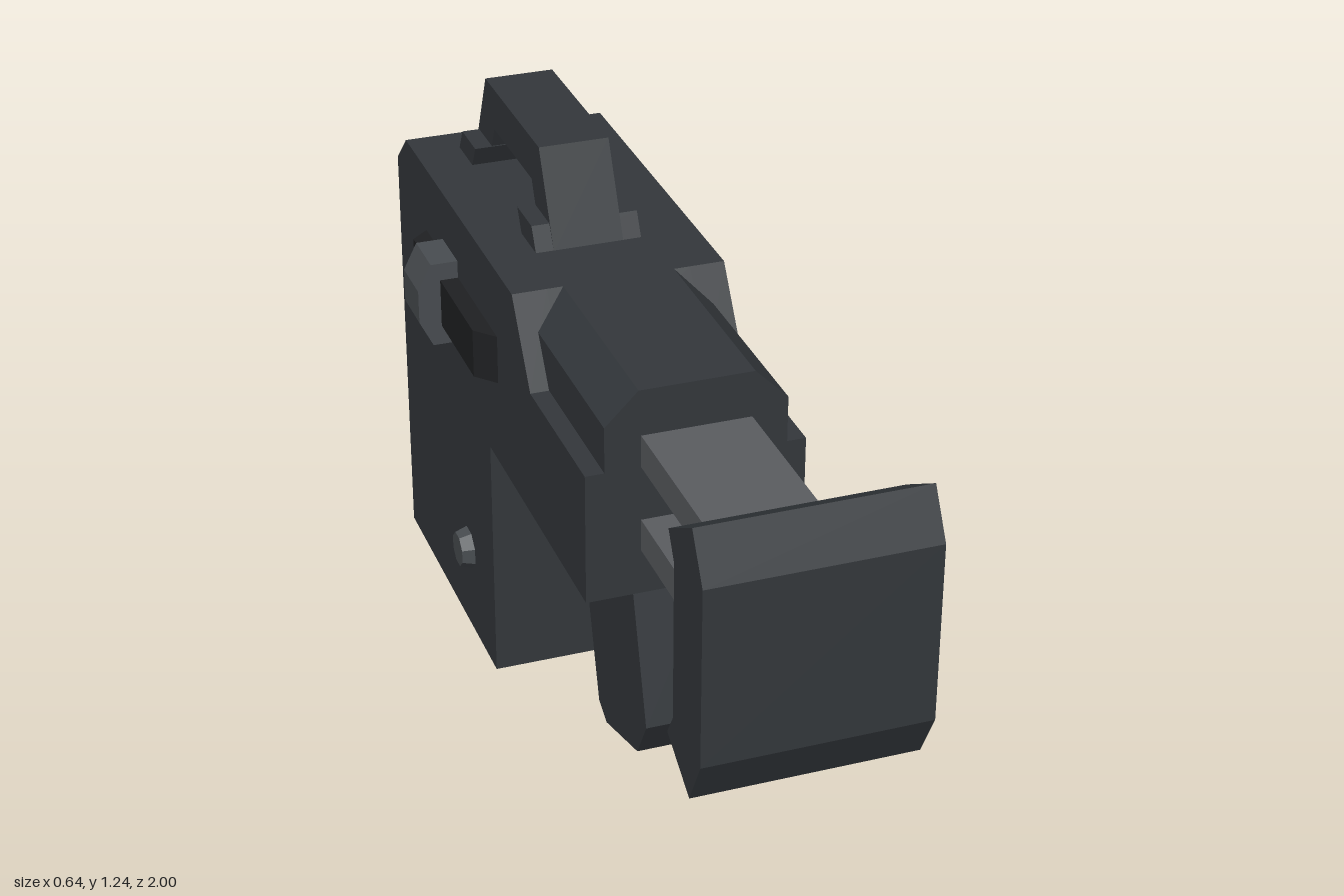
import * as THREE from 'three';

const mat = (color) => new THREE.MeshStandardMaterial({ color, flatShading: true });
const shapeOf = (pts) => new THREE.Shape(pts.map(([a, b]) => new THREE.Vector2(a, b)));

// Side profile of [z, y] points, extruded across x from x0 to x1
function prism(pts, x0, x1) {
  const g = new THREE.ExtrudeGeometry(shapeOf(pts), { depth: x1 - x0, bevelEnabled: false });
  return g.rotateY(-Math.PI / 2).translate(x1, 0, 0);
}

export function createModel() {
  const root = new THREE.Group();
  const dark = mat(0x33373b), black = mat(0x1f2022), steel = mat(0x5a5c60), grey = mat(0x484c50);
  const add = (name, geometry, material = dark, parent = root) => {
    const m = new THREE.Mesh(geometry, material);
    m.name = name;
    parent.add(m);
    return m;
  };

  // Body: two cheeks and a core with the muzzle channel cut from its end
  const rear = [[-0.305, 0], [-0.305, 0.58], [0.35, 0.58], [0.35, 0.87], [0, 0.87], [-0.115, 1.04], [-0.92, 1.04], [-1, 0.965]];
  const body = new THREE.Group();
  body.name = 'body';
  root.add(body);
  add('leftCheek', prism([...rear, [-1, 0]], 0.155, 0.23), dark, body);
  add('rightCheek', prism([...rear, [-1, 0]], -0.23, -0.155), dark, body);
  add('core', prism([...rear, [-1, 0.885], [-0.835, 0.885], [-0.835, 0]], -0.155, 0.155), dark, body);

  // Chamfered cover over the stepped-down rear
  const cover = new THREE.ExtrudeGeometry(
    shapeOf([[-0.19, 0.86], [0.19, 0.86], [0.19, 0.97], [0.12, 1.04], [-0.12, 1.04], [-0.19, 0.97]]),
    { depth: 0.465, bevelEnabled: false });
  add('rearCover', cover.translate(0, 0, -0.115));

  // Octagonal hollow muzzles in the channel
  for (const [name, y] of [['upperMuzzle', 0.725], ['lowerMuzzle', 0.43]]) {
    const profile = [[0.13, 0], [0.13, 0.16], [0.075, 0.16], [0.075, 0.03], [0, 0.03]]
      .map(([r, h]) => new THREE.Vector2(r, h));
    const g = new THREE.LatheGeometry(profile, 8, Math.PI / 8).rotateX(-Math.PI / 2);
    add(name, g, grey).position.set(0, y, -0.835);
  }

  // Stock: two flat rails and a bent shoulder plate
  for (const [name, y] of [['upperRail', 0.905], ['lowerRail', 0.715]]) {
    add(name, new THREE.BoxGeometry(0.23, 0.07, 0.56), steel).position.set(0, y, 0.6);
  }
  add('shoulderPlate', prism([[1, 1.005], [0.945, 1.1], [0.825, 1.03], [0.855, 0.975],
    [0.855, 0.64], [0.825, 0.59], [0.945, 0.52], [1, 0.625]], -0.23, 0.23));

  // Grip and trigger guard
  add('grip', prism([[0.225, 0.6], [0.235, 0.58], [0.335, 0.235], [0.28, 0.14], [0.08, 0.08],
    [0.03, 0.105], [-0.11, 0.58], [-0.115, 0.6]], -0.098, 0.098));
  add('triggerGuard', prism([[-0.03, 0.43], [-0.25, 0.43], [-0.31, 0.49], [-0.31, 0.59],
    [-0.23, 0.59], [-0.23, 0.5], [-0.03, 0.5]], -0.06, 0.06));

  // Carry handle with a wider foot at each end
  add('carryHandle', prism([[-0.275, 1.035], [-0.37, 1.235], [-0.755, 1.235], [-0.845, 1.035],
    [-0.745, 1.035], [-0.695, 1.14], [-0.425, 1.14], [-0.375, 1.035]], -0.088, 0.065));
  const foot = [[-0.275, 1.035], [-0.305, 1.09], [-0.405, 1.09], [-0.375, 1.035]];
  add('frontFoot', prism(foot, -0.127, 0.105));
  add('backFoot', prism(foot.map(([z, y]) => [-1.12 - z, y]), -0.127, 0.105));

  // Slide track, knob and pin on both sides
  for (const [side, s] of [['left', 1], ['right', -1]]) {
    const track = new THREE.ExtrudeGeometry(
      shapeOf([[0.22, 0.23], [0.23, 0.23], [0.27, 0.275], [0.27, 0.735], [0.23, 0.77], [0.22, 0.77]]
        .map(([x, z]) => [x * s, z])), { depth: 0.11, bevelEnabled: false });
    add(side + 'Track', track.rotateX(-Math.PI / 2).translate(0, 0.775, 0), black);

    const knob = new THREE.ExtrudeGeometry(
      shapeOf([[0.22, 0.73], [0.29, 0.73], [0.32, 0.79], [0.32, 0.865], [0.29, 0.925], [0.22, 0.925]]
        .map(([x, y]) => [x * s, y])), { depth: 0.115, bevelEnabled: false });
    add(side + 'Knob', knob.translate(0, 0, -0.635), grey);

    const pin = new THREE.CylinderGeometry(0.04, 0.05, 0.03, 8, 1, false, Math.PI / 8).rotateZ(-s * Math.PI / 2);
    add(side + 'Pin', pin, grey).position.set(0.243 * s, 0.21, -0.5);
  }
  return root;
}
